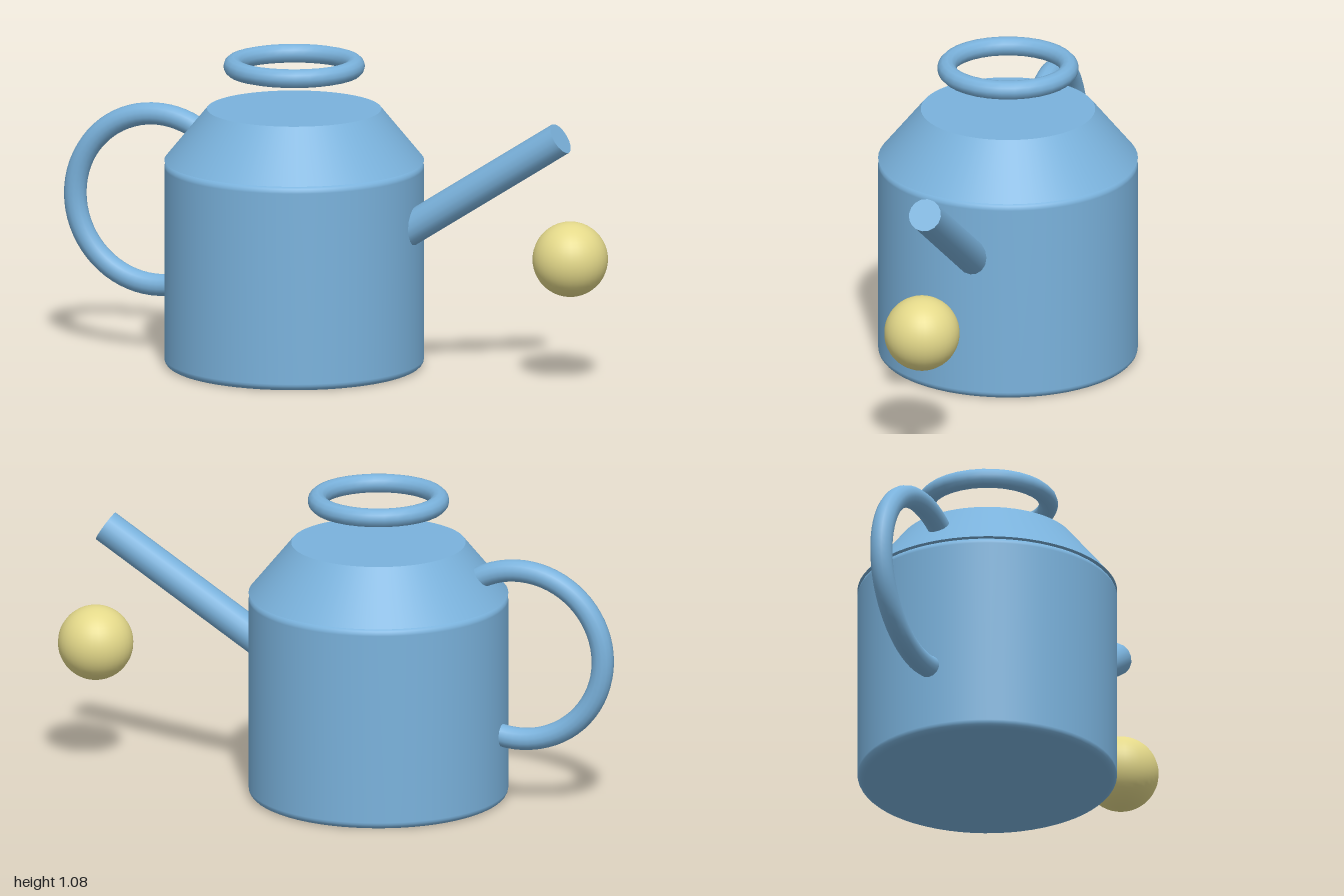
import * as THREE from 'three';

const BODY_X = -0.152;

export function createModel() {
  const group = new THREE.Group();
  const blue = new THREE.MeshStandardMaterial({ color: 0x7ab2dc });
  const yellow = new THREE.MeshStandardMaterial({ color: 0xe4d98a });

  const add = (name, geometry, material, x, y) => {
    const mesh = new THREE.Mesh(geometry, material);
    mesh.name = name;
    mesh.position.set(x, y, 0);
    group.add(mesh);
    return mesh;
  };

  // Drum-shaped body with small rounded rims
  const radius = 0.447, height = 0.72, bevel = 0.025;
  const profile = [new THREE.Vector2(0, 0)];
  for (const [cy, start] of [[bevel, -Math.PI / 2], [height - bevel, 0]]) {
    for (let i = 0; i <= 5; i++) {
      const a = start + (i / 5) * Math.PI / 2;
      profile.push(new THREE.Vector2(radius - bevel + bevel * Math.cos(a), cy + bevel * Math.sin(a)));
    }
  }
  profile.push(new THREE.Vector2(0, height));
  add('body', new THREE.LatheGeometry(profile, 64), blue, BODY_X, 0);

  // Sloping shoulder, overhanging the rounded rim
  add('shoulder', new THREE.CylinderGeometry(0.3, 0.447, 0.18, 64), blue, BODY_X, 0.81);

  // Ring hovering over the flat top
  const ring = add('lidRing', new THREE.TorusGeometry(0.211, 0.033, 12, 32), blue, BODY_X, 1.05);
  ring.rotation.x = Math.PI / 2;

  // Round handle, its ends buried in the body and shoulder
  const arc = Math.PI * 1.6;
  const handle = add('handle', new THREE.TorusGeometry(0.301, 0.039, 14, 56, arc), blue, -0.66, 0.542);
  handle.rotation.z = Math.PI - arc / 2;

  // Straight spout from inside the body to its slanted tip
  const tilt = THREE.MathUtils.degToRad(33), length = 0.8;
  const spout = add('spout', new THREE.CylinderGeometry(0.057, 0.057, length, 16), blue,
    0.832 - Math.cos(tilt) * length / 2, 0.871 - Math.sin(tilt) * length / 2);
  spout.rotation.z = tilt - Math.PI / 2;

  // Loose ball below the spout tip
  add('ball', new THREE.SphereGeometry(0.13, 32, 24), yellow, 0.868, 0.45);

  return group;
}
